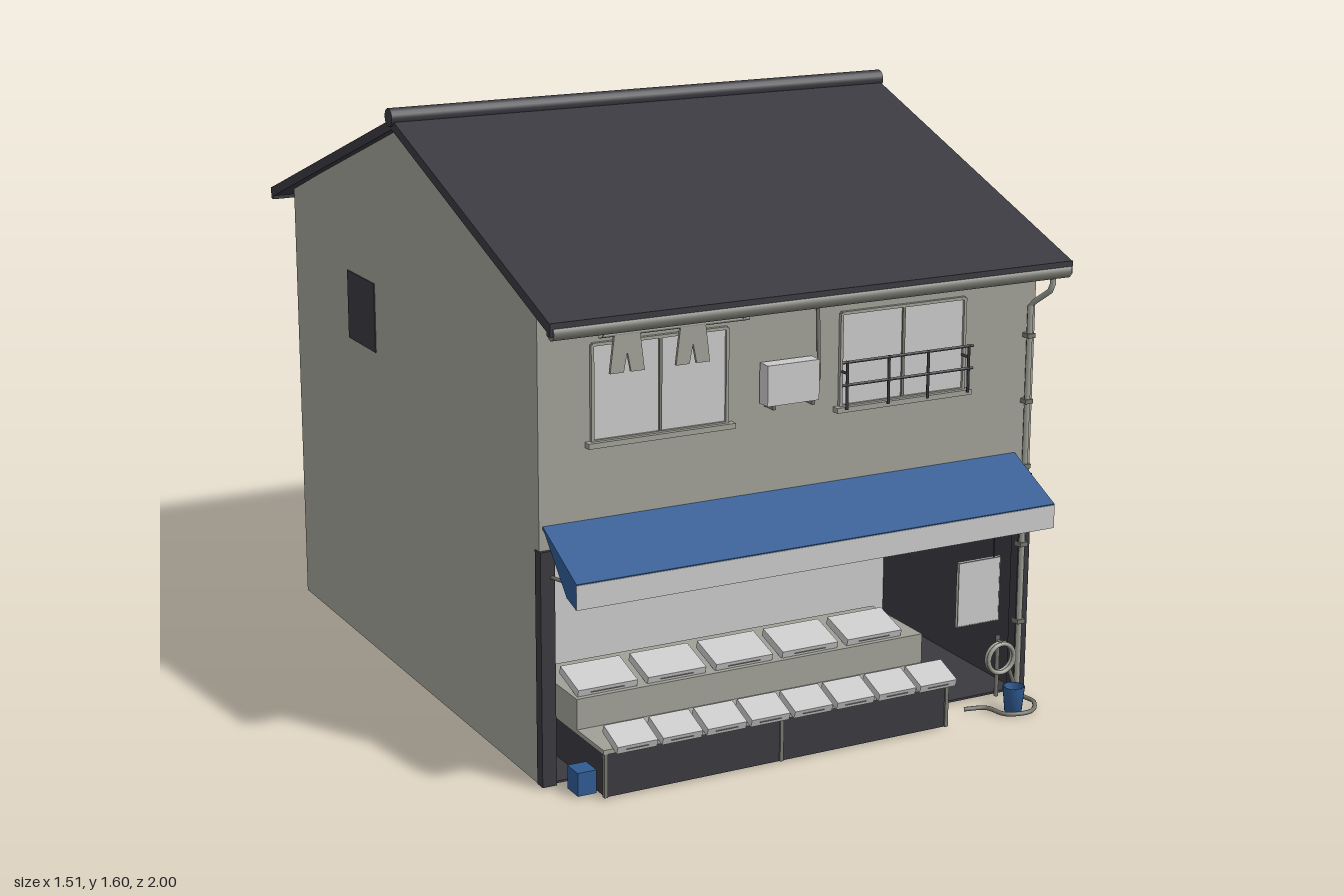
import * as THREE from 'three';

const mat = (name, color, side = THREE.FrontSide) => {
  const m = new THREE.MeshStandardMaterial({ color, side });
  m.name = name;
  return m;
};

export function createModel() {
  const root = new THREE.Group();
  root.name = 'shopHouse';
  const wall = mat('wallPlaster', 0xa0a097);
  const dark = mat('darkTile', 0x39393f);
  const light = mat('paleGrey', 0xc9c9c9);
  const blue = mat('blueCanvas', 0x2f5a92, THREE.DoubleSide);
  const metal = mat('greyMetal', 0x77776f);

  const add = (name, geo, m, parent = root) => {
    const mesh = new THREE.Mesh(geo, m);
    mesh.name = name;
    parent.add(mesh);
    return mesh;
  };
  // Box given by its limits on each axis
  const box = (name, m, x0, x1, y0, y1, z0, z1, parent) => {
    const g = new THREE.BoxGeometry(x1 - x0, y1 - y0, z1 - z0);
    return add(name, g.translate((x0 + x1) / 2, (y0 + y1) / 2, (z0 + z1) / 2), m, parent);
  };
  // Outline in (z, y) extruded along x
  const slab = (name, m, pts, x0, x1, parent) => {
    const s = new THREE.Shape(pts.map(p => new THREE.Vector2(p[0], p[1])));
    const g = new THREE.ExtrudeGeometry(s, { depth: x1 - x0, bevelEnabled: false });
    return add(name, g.rotateY(-Math.PI / 2).translate(x1, 0, 0), m, parent);
  };
  // Pipe through a list of points, straight between them
  const pipe = (name, m, r, pts, parent) => {
    const path = new THREE.CurvePath();
    const v = pts.map(p => new THREE.Vector3(...p));
    for (let i = 1; i < v.length; i++) path.add(new THREE.LineCurve3(v[i - 1], v[i]));
    return add(name, new THREE.TubeGeometry(path, 16 * (v.length - 1), r, 8), m, parent);
  };
  const group = name => {
    const g = new THREE.Group();
    g.name = name;
    root.add(g);
    return g;
  };

  // House shell, open underneath
  const shell = group('houseShell');
  const gable = [[-0.86, 0], [0.81, 0], [0.81, 1.24], [-0.03, 1.545], [-0.86, 1.24]];
  slab('leftWall', wall, gable, 0.705, 0.725, shell);
  slab('rightWall', wall, gable, -0.73, -0.71, shell);
  box('backWall', wall, -0.73, 0.725, 0, 1.24, -0.861, -0.84, shell);
  box('upperFrontWall', wall, -0.73, 0.725, 0.61, 1.24, 0.79, 0.811, shell);

  // Shop room behind the open front
  const shop = group('shopRoom');
  box('shopFloor', dark, -0.71, 0.705, 0, 0.006, 0.14, 0.81, shop);
  box('shopBackWall', light, -0.71, 0.705, 0, 0.61, 0.13, 0.14, shop);
  box('shopCeiling', wall, -0.71, 0.705, 0.605, 0.615, 0.13, 0.8, shop);
  for (const [x0, x1] of [[-0.732, -0.693], [0.69, 0.727]]) {
    box('frontPost', dark, x0, x1, 0, 0.62, 0.79, 0.822, shop);
  }
  box('shopSideLining', dark, -0.71, -0.704, 0.006, 0.605, 0.14, 0.8, shop);
  box('shopSideLining', dark, 0.699, 0.705, 0.006, 0.605, 0.14, 0.8, shop);

  // Roof, ridge and eave edges
  const roof = group('roof');
  const pitch = [[0.935, 1.193], [0.935, 1.222], [-0.03, 1.568], [-0.997, 1.222],
    [-0.997, 1.193], [-0.03, 1.54]];
  slab('roofSlopes', dark, pitch, -0.753, 0.75, roof);
  const ridge = new THREE.CylinderGeometry(0.025, 0.025, 1.515, 16).rotateZ(Math.PI / 2);
  add('ridgeCap', ridge.translate(-0.002, 1.572, -0.035), dark, roof);
  for (const z of [0.925, -0.987]) {
    box('eaveEdge', dark, -0.753, 0.75, 1.19, 1.224, z - 0.01, z + 0.01, roof);
  }

  // Gutter and downpipe
  const drain = group('drainage');
  const gutter = new THREE.CylinderGeometry(0.02, 0.02, 1.49, 12).rotateZ(Math.PI / 2);
  add('gutter', gutter.translate(0, 1.197, 0.92), metal, drain);
  pipe('downpipe', wall, 0.008,
    [[0.7, 1.19, 0.92], [0.7, 1.15, 0.92], [0.7, 1.09, 0.825], [0.7, 0.0, 0.825]], drain);
  for (const y of [1.0, 0.82, 0.64, 0.42, 0.2]) {
    box('pipeClip', metal, 0.688, 0.712, y, y + 0.012, 0.81, 0.836, drain);
  }
  box('meterBox', wall, 0.675, 0.715, 0.55, 0.61, 0.811, 0.857, drain);

  // Sliding window facing +z, centred on its own origin
  const makeWindow = (name, w, h, sillOver) => {
    const g = group(name);
    box('glass', light, -w / 2, w / 2, -h / 2, h / 2, 0, 0.003, g);
    const t = 0.008;
    for (const s of [-1, 1]) {
      box('frameSide', wall, s * w / 2 - t / 2, s * w / 2 + t / 2, -h / 2, h / 2, 0, 0.01, g);
      box('frameRail', wall, -w / 2, w / 2, s * h / 2 - t / 2, s * h / 2 + t / 2, 0, 0.01, g);
    }
    box('middleBar', metal, -0.004, 0.004, -h / 2, h / 2, 0, 0.008, g);
    box('sill', wall, -w / 2 - sillOver, w / 2 + sillOver, -h / 2 - 0.014, -h / 2, 0, 0.022, g);
    return g;
  };
  makeWindow('upperRightWindow', 0.375, 0.245, 0.018).position.set(-0.398, 1.005, 0.811);
  makeWindow('upperLeftWindow', 0.375, 0.245, 0.018).position.set(0.31, 1.005, 0.811);
  const side = makeWindow('sideWindow', 0.2, 0.2, 0.025);
  side.position.set(0.725, 0.98, -0.34);
  side.rotation.y = Math.PI / 2;
  box('darkSideOpening', dark, -0.733, -0.729, 0.885, 1.08, -0.44, -0.24);

  // Window railing
  const rail = group('windowRailing');
  for (const y of [0.945, 1.005]) {
    pipe('railBar', dark, 0.004, [[0.108, y, 0.845], [0.508, y, 0.845]], rail);
  }
  for (const x of [0.125, 0.25, 0.37, 0.495]) {
    pipe('railPost', dark, 0.004, [[x, 0.88, 0.845], [x, 1.01, 0.845]], rail);
  }
  for (const x of [0.125, 0.495]) {
    pipe('railStay', dark, 0.004, [[x, 0.975, 0.81], [x, 0.975, 0.845]], rail);
  }

  // Air conditioner
  const ac = group('airConditioner');
  box('casing', light, -0.118, 0.032, 0.922, 1.028, 0.82, 0.862, ac);
  for (const x of [-0.1, 0.014]) box('bracket', metal, x, x + 0.008, 0.91, 0.924, 0.81, 0.858, ac);
  pipe('hose', metal, 0.005, [[0.03, 0.965, 0.83], [0.05, 0.965, 0.83], [0.05, 1.15, 0.82]], ac);

  // Washing on its pole
  const washing = group('washing');
  pipe('pole', metal, 0.004, [[-0.605, 1.165, 0.89], [-0.19, 1.165, 0.89]], washing);
  for (const x of [-0.59, -0.205]) {
    pipe('poleArm', metal, 0.005, [[x, 1.165, 0.81], [x, 1.165, 0.895]], washing);
  }
  for (const x of [-0.528, -0.348]) {
    const s = new THREE.Shape([[-0.035, 0], [0.035, 0], [0.047, -0.095], [0.01, -0.095],
      [0, -0.045], [-0.01, -0.095], [-0.047, -0.095]].map(p => new THREE.Vector2(...p)).reverse());
    const g = new THREE.ExtrudeGeometry(s, { depth: 0.008, bevelEnabled: false });
    add('trousers', g.translate(x, 1.165, 0.886), wall, washing);
  }

  // Awning with pale valance
  const awning = group('awning');
  slab('canvas', blue, [[0.812, 0.683], [0.812, 0.675], [0.997, 0.583], [0.999, 0.591]],
    -0.72, 0.675, awning);
  for (const x of [-0.72, 0.671]) {
    slab('endFlap', blue, [[0.815, 0.676], [0.945, 0.54], [0.998, 0.525], [0.998, 0.588]],
      x, x + 0.004, awning);
  }
  box('valance', light, -0.72, 0.675, 0.525, 0.588, 0.994, 1.0, awning);
  for (const x of [-0.7, 0.655]) {
    pipe('awningArm', metal, 0.005, [[x, 0.55, 0.81], [x, 0.57, 0.95], [x, 0.585, 0.99]], awning);
  }

  // Hanging board
  const board = group('hangingBoard');
  box('panel', light, 0.433, 0.566, 0.26, 0.44, 0.912, 0.92, board);
  for (const y of [0.26, 0.437]) box('panelEdge', metal, 0.433, 0.566, y, y + 0.003, 0.911, 0.921, board);
  for (const x of [0.433, 0.563]) box('panelEdge', metal, x, x + 0.003, 0.26, 0.44, 0.911, 0.921, board);
  pipe('cord', dark, 0.002, [[0.546, 0.44, 0.916], [0.546, 0.6, 0.916]], board);

  // Stepped display stand with tilted trays
  const stand = group('displayStand');
  box('standBase', dark, -0.618, 0.388, 0, 0.116, 0.55, 0.945, stand);
  box('lowerShelf', wall, -0.625, 0.403, 0.116, 0.128, 0.55, 0.95, stand);
  box('upperStep', wall, -0.625, 0.403, 0.128, 0.21, 0.55, 0.8, stand);
  for (const x of [-0.618, -0.115, 0.388]) {
    box('standLeg', metal, x - 0.005, x + 0.005, 0, 0.116, 0.938, 0.95, stand);
  }
  const tray = (x, y, z, w, d, tilt) => {
    const g = new THREE.Group();
    g.name = 'tray';
    box('trayBody', light, -w / 2, w / 2, -0.011, 0.011, -d / 2, d / 2, g);
    box('trayLabel', metal, -w * 0.28, w * 0.28, -0.001, 0.001, d / 2, d / 2 + 0.002, g);
    g.position.set(x, y, z);
    g.rotation.x = tilt;
    stand.add(g);
  };
  for (let i = 0; i < 8; i++) tray(-0.545 + i * 0.1265, 0.148, 0.938, 0.112, 0.085, 0.36);
  for (let i = 0; i < 5; i++) tray(-0.532 + i * 0.198, 0.233, 0.735, 0.168, 0.11, 0.28);

  // Buckets
  const bucket = (name, x, z, h) => {
    const pts = [[0.001, 0], [0.023, 0], [0.03, h], [0.026, h], [0.02, 0.008], [0.001, 0.008]];
    const g = new THREE.LatheGeometry(pts.map(p => new THREE.Vector2(...p)), 20);
    add(name, g.translate(x, 0, z), blue);
  };
  bucket('bucket', 0.612, 0.935, 0.07);
  box('blueCrate', blue, -0.677, -0.625, 0, 0.062, 0.85, 0.91);

  // Tap with coiled hose
  const tap = group('tapAndHose');
  pipe('standpipe', metal, 0.006, [[0.632, 0, 0.825], [0.632, 0.178, 0.825]], tap);
  pipe('spout', metal, 0.005, [[0.632, 0.16, 0.825], [0.632, 0.16, 0.85]], tap);
  for (const z of [0.835, 0.846]) {
    add('hoseCoil', new THREE.TorusGeometry(0.041, 0.006, 8, 28).translate(0.632, 0.115, z), wall, tap);
  }
  const trail = new THREE.CatmullRomCurve3([[0.66, 0.08, 0.84], [0.69, 0.006, 0.85], [0.69, 0.006, 0.92],
    [0.64, 0.006, 0.975], [0.57, 0.006, 0.96], [0.55, 0.006, 0.9], [0.49, 0.006, 0.88]]
    .map(p => new THREE.Vector3(...p)));
  add('hoseTrail', new THREE.TubeGeometry(trail, 48, 0.006, 8), metal, tap);

  return root;
}
